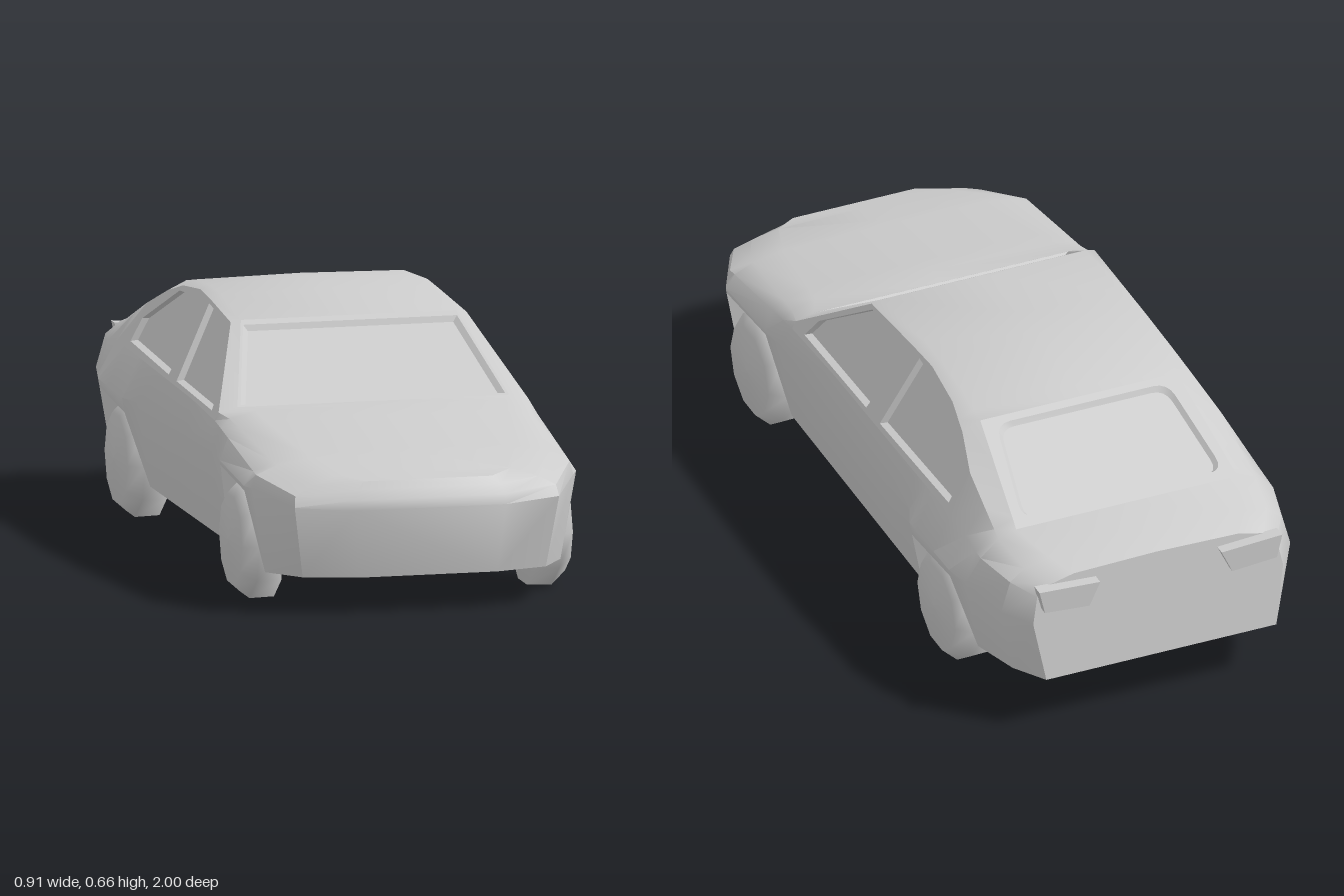
import * as THREE from 'three';
import { toCreasedNormals } from 'three/addons/utils/BufferGeometryUtils.js';

const material = new THREE.MeshStandardMaterial({ color: 0xcccccc, side: THREE.DoubleSide });

// piecewise linear profile along z, listed from nose to tail
function along(z, pts) {
  if (z >= pts[0][0]) return pts[0][1];
  for (let i = 1; i < pts.length; i++) {
    const [z0, a] = pts[i - 1], [z1, b] = pts[i];
    if (z >= z1) return a + (b - a) * (z0 - z) / (z0 - z1);
  }
  return pts[pts.length - 1][1];
}

const stations = [1, 0.96, 0.81, 0.78, 0.53, 0.46, 0.4, 0.14, -0.1, -0.22, -0.37, -0.43, -0.47, -0.58, -0.68, -0.75, -0.78, -0.9, -1];
const CABIN = [0.4, -0.58], SCREEN = [0.4, 0.14], HATCH = [-0.47, -0.78];
const inSpan = (a, b, [front, back]) => a <= front && b >= back;

const floorY = [[0.96, 0.105], [0.8, 0.1], [0.46, 0.115], [-0.37, 0.115], [-0.75, 0.14], [-1, 0.165]];
const archY = [[0.81, 0], [0.78, 0.31], [0.53, 0.333], [0.46, 0], [-0.37, 0], [-0.43, 0.3], [-0.68, 0.325], [-0.75, 0]];
const beltX = [[1, 0.2], [0.96, 0.35], [0.78, 0.44], [0.53, 0.44], [0.46, 0.43], [-0.37, 0.43], [-0.43, 0.455], [-0.68, 0.455], [-0.9, 0.405], [-1, 0.35]];
const beltY = [[1, 0.285], [0.81, 0.32], [0.53, 0.345], [-0.1, 0.33], [-0.68, 0.345], [-1, 0.33]];
const shoulderX = [[1, 0.2], [0.96, 0.345], [0.81, 0.415], [0.4, 0.42], [-0.58, 0.41], [-0.78, 0.41], [-0.9, 0.38], [-1, 0.335]];
const shoulderY = [[1, 0.31], [0.96, 0.32], [0.81, 0.355], [0.4, 0.425], [0.14, 0.435], [-0.58, 0.445], [-0.9, 0.42], [-1, 0.405]];
const railX = [[1, 0.19], [0.96, 0.3], [0.81, 0.36], [0.46, 0.395], [-0.58, 0.352], [-0.78, 0.36], [-0.9, 0.34], [-1, 0.3]];
const railY = [[1, 0.335], [0.96, 0.343], [0.81, 0.378], [0.46, 0.438], [0.4, 0.445], [0.14, 0.63], [-0.1, 0.646], [-0.22, 0.652], [-0.37, 0.636], [-0.47, 0.606], [-0.58, 0.555], [-0.78, 0.475], [-1, 0.432]];
const topX = [[1, 0.17], [0.96, 0.23], [0.81, 0.27], [0.46, 0.33], [0.4, 0.36], [0.14, 0.285], [-0.1, 0.275], [-0.47, 0.275], [-0.78, 0.31], [-0.9, 0.27], [-1, 0.23]];
const topY = [[1, 0.355], [0.96, 0.365], [0.81, 0.393], [0.46, 0.455], [0.4, 0.457], [0.14, 0.635], [-0.1, 0.657], [-0.22, 0.662], [-0.37, 0.65], [-0.47, 0.63], [-0.78, 0.492], [-1, 0.448]];
const crown = [[0.96, 0], [0.81, 0.004], [0.4, 0], [0.14, 0], [-0.1, 0.008], [-0.22, 0.012], [-0.47, 0], [-0.78, 0], [-0.9, 0.005]];

// inward lean of the cabin sides
const cabinX = y => 0.41 - (y - 0.445) * 0.53;

// half cross-section, from floor centre round to roof centre
function section(z) {
  const yb = along(z, floorY), ya = Math.max(yb, along(z, archY));
  const xe = along(z, beltX), ye = along(z, beltY);
  const xd = xe * (0.92 + 0.08 * (ya - yb) / (ye - yb)), xin = Math.min(0.33, xd * 0.9);
  const ys = along(z, shoulderY), yr = along(z, railY);
  const cabin = inSpan(z, z, CABIN), yt = along(z, topY);
  const pts = [[0, yb], [xin, yb], [xin, ya], [xd, ya], [xe, ye],
    [cabin ? cabinX(ys) : along(z, shoulderX), ys], [cabin ? cabinX(yr) : along(z, railX), yr],
    [along(z, topX), yt], [0, yt + along(z, crown)]];
  const lean = y => z > 0.9 ? -(y > 0.29 ? 0.5 : -0.16) * (y - 0.29) : z < -0.95 ? (y - 0.165) * 0.12 : 0;
  return pts.map(([x, y]) => [x, y, z + lean(y)]);
}

function quadMesh(name, quads, crease = 0.6) {
  const pos = [];
  for (const [a, b, c, d] of quads) pos.push(...a, ...b, ...c, ...a, ...c, ...d);
  const geo = new THREE.BufferGeometry();
  geo.setAttribute('position', new THREE.Float32BufferAttribute(pos, 3));
  const mesh = new THREE.Mesh(toCreasedNormals(geo, crease), material);
  mesh.name = name;
  return mesh;
}

function bodyShell() {
  const rings = stations.map(section), quads = [];
  const flip = ([x, y, z]) => [-x, y, z];
  for (let i = 0; i < rings.length - 1; i++) {
    const za = stations[i], zb = stations[i + 1];
    for (let j = 0; j < 8; j++) {
      // leave openings for the window panels
      if (j === 5 && inSpan(za, zb, CABIN)) continue;
      if (j === 7 && (inSpan(za, zb, SCREEN) || inSpan(za, zb, HATCH))) continue;
      const q = [rings[i][j], rings[i + 1][j], rings[i + 1][j + 1], rings[i][j + 1]];
      quads.push(q, q.map(flip).reverse());
    }
  }
  // nose and tail faces
  [rings[0], rings[rings.length - 1]].forEach((r, end) => {
    for (let j = 0; j < 8; j++) {
      const q = [r[j], r[j + 1], flip(r[j + 1]), flip(r[j])];
      quads.push(end ? q.reverse() : q);
    }
  });
  return quadMesh('bodyShell', quads);
}

// flat sheet in (u, v), placed in space by the rule map(u, v, depth)
function sheet(name, outline, holes, map, depth) {
  const vec = l => l.map(p => new THREE.Vector2(...p));
  const shape = new THREE.Shape(vec(outline));
  shape.holes = holes.map(h => new THREE.Path(vec(h)));
  const geo = new THREE.ShapeGeometry(shape), p = geo.attributes.position;
  for (let i = 0; i < p.count; i++) p.setXYZ(i, ...map(p.getX(i), p.getY(i), depth));
  geo.computeVertexNormals();
  const mesh = new THREE.Mesh(geo, material);
  mesh.name = name;
  return mesh;
}

// frame with recessed panes
function glazing(name, outline, holes, map, depth) {
  const g = new THREE.Group();
  g.name = name;
  g.add(sheet('windowFrame', outline, holes, map, 0));
  for (const h of holes) {
    const cu = h.reduce((s, p) => s + p[0], 0) / h.length, cv = h.reduce((s, p) => s + p[1], 0) / h.length;
    const pane = h.map(([u, v]) => [cu + (u - cu) * 0.96, cv + (v - cv) * 0.95]);
    g.add(sheet('windowPane', pane, [], map, depth));
    g.add(quadMesh('windowRim', h.map((p, i) => {
      const k = (i + 1) % h.length;
      return [map(...p, 0), map(...h[k], 0), map(...pane[k], depth), map(...pane[i], depth)];
    })));
  }
  return g;
}

// round the corners of a polygon
function rounded(poly, r) {
  return poly.flatMap((p, i) => {
    const c = new THREE.Vector2(...p);
    const toward = k => new THREE.Vector2(...poly[k % poly.length]).sub(c).setLength(r).add(c);
    return new THREE.QuadraticBezierCurve(toward(i + poly.length - 1), c, toward(i + 1)).getPoints(4).map(v => [v.x, v.y]);
  });
}

function wheel(side, z) {
  const profile = [[0, 0.335], [0.153, 0.335], [0.155, 0.4], [0.12, 0.438], [0, 0.445]];
  const geo = new THREE.LatheGeometry(profile.map(p => new THREE.Vector2(...p)), 10);
  const mesh = new THREE.Mesh(geo, material);
  mesh.name = 'wheel';
  mesh.rotation.z = -side * Math.PI / 2;
  mesh.position.set(0, 0.158, z);
  return mesh;
}

function tailLight(side) {
  const pts = [[0.17, 0.425], [0.34, 0.435], [0.325, 0.37], [0.2, 0.36]];
  const shape = new THREE.Shape(pts.map(([x, y]) => new THREE.Vector2(side * x, y)));
  const mesh = new THREE.Mesh(new THREE.ExtrudeGeometry(shape, { depth: 0.035, bevelEnabled: false }), material);
  mesh.name = 'tailLight';
  mesh.position.z = -0.998;
  return mesh;
}

export function createModel() {
  const car = new THREE.Group();
  car.name = 'car';
  car.add(bodyShell());

  // side windows
  const cabin = stations.filter(z => inSpan(z, z, CABIN));
  const outline = [...cabin.map(z => [z, along(z, shoulderY)]), ...cabin.slice().reverse().map(z => [z, along(z, railY)])];
  const frontDoor = [[0.34, 0.44], [-0.045, 0.448], [-0.1, 0.637], [0.125, 0.622], [0.31, 0.493]];
  const rearDoor = [[-0.13, 0.45], [-0.555, 0.462], [-0.555, 0.52], [-0.375, 0.622], [-0.155, 0.639]];
  for (const s of [1, -1])
    car.add(glazing('sideWindows', outline, [frontDoor, rearDoor], (z, y, d) => [s * (cabinX(y) - d), y, z], 0.016));

  // windscreen and rear window
  const onTop = (x, z, d) => [x, along(z, topY) - d, z];
  const panel = ([z0, z1]) => [[-along(z0, topX), z0], [along(z0, topX), z0], [along(z1, topX), z1], [-along(z1, topX), z1]];
  const screen = [[-0.35, 0.394], [0.35, 0.394], [0.283, 0.155], [-0.283, 0.155]];
  const hatch = rounded([[-0.282, -0.755], [0.282, -0.755], [0.24, -0.49], [-0.24, -0.49]], 0.04);
  // the rear pane lies in one plane between the two ends of its opening
  const onHatch = (x, z, d) => [x, 0.63 + (z + 0.47) * (0.138 / 0.31) - d, z];
  car.add(glazing('windscreen', panel(SCREEN), [screen], onTop, 0.012));
  car.add(glazing('rearWindow', panel(HATCH), [hatch], onHatch, 0.012));

  // wheels and lights
  for (const s of [1, -1]) {
    car.add(wheel(s, 0.635), wheel(s, -0.56), tailLight(s));
  }
  return car;
}
